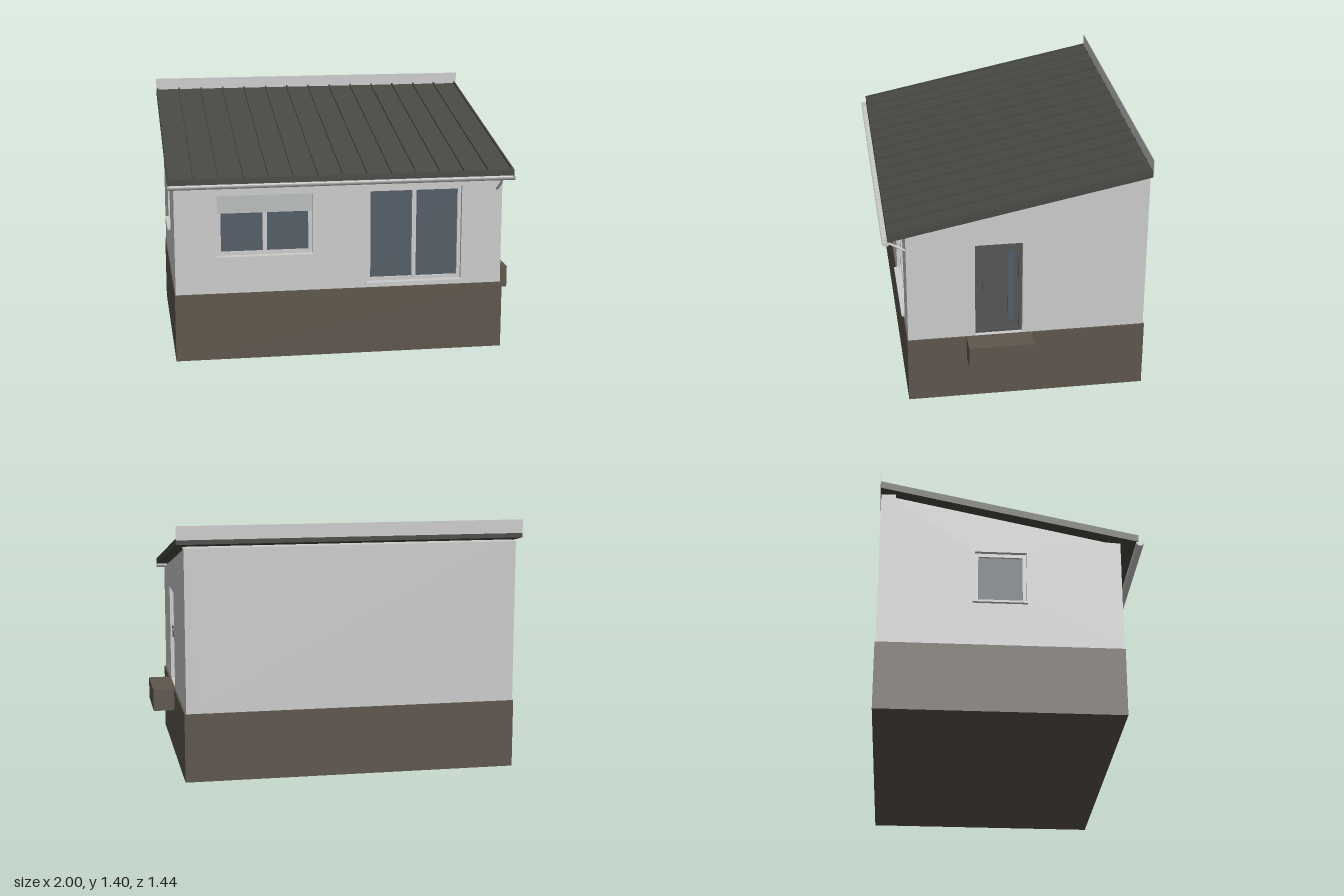
import * as THREE from 'three';

const mat = (color) => new THREE.MeshStandardMaterial({ color, flatShading: true });
const GREY = mat(0xcccccc), BROWN = mat(0x5e564c), ROOF = mat(0x484843);
const DOOR = mat(0x555555), GLASS = mat(0x525c66), SHUTTER = mat(0xb9bdbd);
const METAL = new THREE.MeshStandardMaterial({ color: 0xcccccc, side: THREE.DoubleSide });

const REVEAL = 0.04; // depth of the window and door recesses
const WALL = { l: -0.965, r: 0.87, f: 0.595, b: -0.715, y: 0.38 };

function add(parent, name, geometry, material) {
  const mesh = new THREE.Mesh(geometry, material);
  mesh.name = name;
  parent.add(mesh);
  return mesh;
}

// Box given by its limits on each axis
function box(parent, name, material, x0, x1, y0, y1, z0, z1) {
  const mesh = add(parent, name, new THREE.BoxGeometry(x1 - x0, y1 - y0, z1 - z0), material);
  mesh.position.set((x0 + x1) / 2, (y0 + y1) / 2, (z0 + z1) / 2);
  return mesh;
}

// Flat outline with rectangular openings [u0, u1, v0, v1]
function outline(points, holes = []) {
  const shape = new THREE.Shape(points.map((p) => new THREE.Vector2(...p)));
  for (const [a, b, c, d] of holes) {
    shape.holes.push(new THREE.Path([[a, c], [a, d], [b, d], [b, c]].map((p) => new THREE.Vector2(...p))));
  }
  return shape;
}

// Side profile in (z, y), extruded from x1 down to x0
function sideways(parent, name, material, shape, x0, x1) {
  const geometry = new THREE.ExtrudeGeometry(shape, { depth: x1 - x0, bevelEnabled: false });
  geometry.rotateY(-Math.PI / 2);
  const mesh = add(parent, name, geometry, material);
  mesh.position.x = x1;
  return mesh;
}

// Rectangular frame of four bars, standing out from the recess back at z = 0
function frame(parent, name, material, [u0, u1, v0, v1], t, depth) {
  box(parent, name, material, u0, u0 + t, v0, v1, 0, depth);
  box(parent, name, material, u1 - t, u1, v0, v1, 0, depth);
  box(parent, name, material, u0 + t, u1 - t, v0, v0 + t, 0, depth);
  box(parent, name, material, u0 + t, u1 - t, v1 - t, v1, 0, depth);
}

function makeWindow(name, rect, mullions) {
  const group = new THREE.Group();
  group.name = name;
  const [u0, u1, v0, v1] = rect;
  box(group, 'glass', GLASS, u0, u1, v0, v1, 0, 0.006);
  frame(group, 'windowFrame', GREY, rect, 0.02, 0.018);
  for (const u of mullions) box(group, 'mullion', GREY, u - 0.012, u + 0.012, v0, v1, 0, 0.02);
  box(group, 'windowSill', GREY, u0 - 0.01, u1 + 0.005, v0 - 0.012, v0, 0, REVEAL + 0.018);
  return group;
}

export function createModel() {
  const house = new THREE.Group();
  house.name = 'house';

  // Plinth and entrance step
  box(house, 'plinth', BROWN, -0.97, 0.88, 0, WALL.y, -0.72, 0.6);
  box(house, 'entranceStep', BROWN, 0.88, 1, 0.255, 0.379, -0.085, 0.275);

  // Walls: solid core with outer shells that carry the openings
  const profile = (front) => [
    [front, WALL.y], [front, 1.02], [0.51, 1.025], [-0.635, 1.26],
    [-0.635, 1.28], [WALL.b, 1.28], [WALL.b, WALL.y],
  ];
  const smallWindow = [-0.73, -0.205, 0.59, 0.93];
  const tallWindow = [0.105, 0.64, 0.41, 0.945];
  const doorway = [-0.035, 0.225, WALL.y + 0.001, 0.94];
  const sideWindow = [-0.2, 0.08, 0.64, 0.94];
  const inL = WALL.l + REVEAL, inR = WALL.r - REVEAL, inF = WALL.f - REVEAL;

  sideways(house, 'wallCore', GREY, outline(profile(inF)), inL, inR);
  sideways(house, 'rightWall', GREY, outline(profile(WALL.f), [doorway]), inR, WALL.r);
  sideways(house, 'leftWall', GREY, outline(profile(WALL.f), [sideWindow]), WALL.l, inL);
  const frontShape = outline(
    [[inL, WALL.y], [inR, WALL.y], [inR, 1.02], [inL, 1.02]], [smallWindow, tallWindow]);
  add(house, 'frontWall', new THREE.ExtrudeGeometry(frontShape, { depth: REVEAL, bevelEnabled: false }), GREY)
    .position.z = inF;

  // Front windows
  const small = makeWindow('smallFrontWindow', smallWindow, [-0.467]);
  box(small, 'rollerShutter', SHUTTER, -0.73, -0.205, 0.83, 0.93, 0, 0.03);
  const tall = makeWindow('tallFrontWindow', tallWindow, [0.372]);
  small.position.z = tall.position.z = inF;
  house.add(small, tall);

  // Window in the left wall
  const side = makeWindow('sideWindow', sideWindow, []);
  side.rotation.y = -Math.PI / 2;
  side.position.x = inL;
  house.add(side);

  // Door in the right wall, with a glass strip and a bar handle
  const door = new THREE.Group();
  door.name = 'door';
  const [z0, z1, y0, y1] = doorway;
  box(door, 'doorLeaf', DOOR, -z1, -z0, y0, y1, 0, 0.01);
  frame(door, 'doorFrame', DOOR, [-z1, -z0, y0, y1], 0.018, 0.016);
  box(door, 'doorGlass', GLASS, -0.042, -0.005, 0.45, 0.88, 0, 0.013);
  box(door, 'doorHandle', DOOR, -0.184, -0.176, 0.64, 0.71, 0.024, 0.032);
  for (const y of [0.65, 0.7]) box(door, 'handleMount', DOOR, -0.183, -0.177, y - 0.004, y + 0.004, 0.008, 0.026);
  door.rotation.y = Math.PI / 2;
  door.position.x = inR;
  house.add(door);

  // Sloping roof with standing seams
  const slab = (low, high) => outline([
    [0.69, 1.015 + low], [0.69, 1.015 + high], [-0.718, 1.3 + high], [-0.718, 1.3 + low]]);
  sideways(house, 'roof', ROOF, slab(0, 0.033), -1, 0.91);
  for (let i = 0; i < 15; i++) {
    const x = -0.993 + i * 0.135;
    sideways(house, 'roofSeam', ROOF, slab(0.033, 0.043), x - 0.004, x + 0.004);
  }
  // Upright sheet along the high edge
  box(house, 'ridgeFlashing', GREY, -1, 0.91, 1.325, 1.4, -0.722, -0.718);

  // Half-round gutter with end caps, and a slanted outlet pipe
  const gutter = new THREE.Group();
  gutter.name = 'gutter';
  const trough = new THREE.CylinderGeometry(0.022, 0.022, 1.91, 16, 1, true, -Math.PI / 2, Math.PI);
  trough.rotateZ(Math.PI / 2);
  trough.rotateX(Math.PI / 2);
  // Turn the open side upward
  trough.computeBoundingBox();
  if (trough.boundingBox.max.y < 0.01 === false) trough.rotateX(Math.PI);
  const bb = trough.boundingBox;
  if (bb.max.z - bb.min.z < 0.03) trough.rotateX(Math.PI / 2);
  add(gutter, 'gutterTrough', trough, METAL);
  for (const x of [-0.955, 0.955]) {
    const cap = add(gutter, 'gutterCap', new THREE.CircleGeometry(0.022, 16, Math.PI, Math.PI), METAL);
    cap.rotation.y = Math.PI / 2;
    cap.position.x = x;
  }
  gutter.position.set(-0.045, 1.014, 0.699);
  house.add(gutter);

  const path = new THREE.CatmullRomCurve3([
    new THREE.Vector3(0.84, 1.0, 0.7), new THREE.Vector3(0.84, 0.98, 0.685),
    new THREE.Vector3(0.84, 0.935, 0.615), new THREE.Vector3(0.84, 0.92, 0.59)]);
  add(house, 'outletPipe', new THREE.TubeGeometry(path, 12, 0.007, 8), METAL);

  return house;
}
